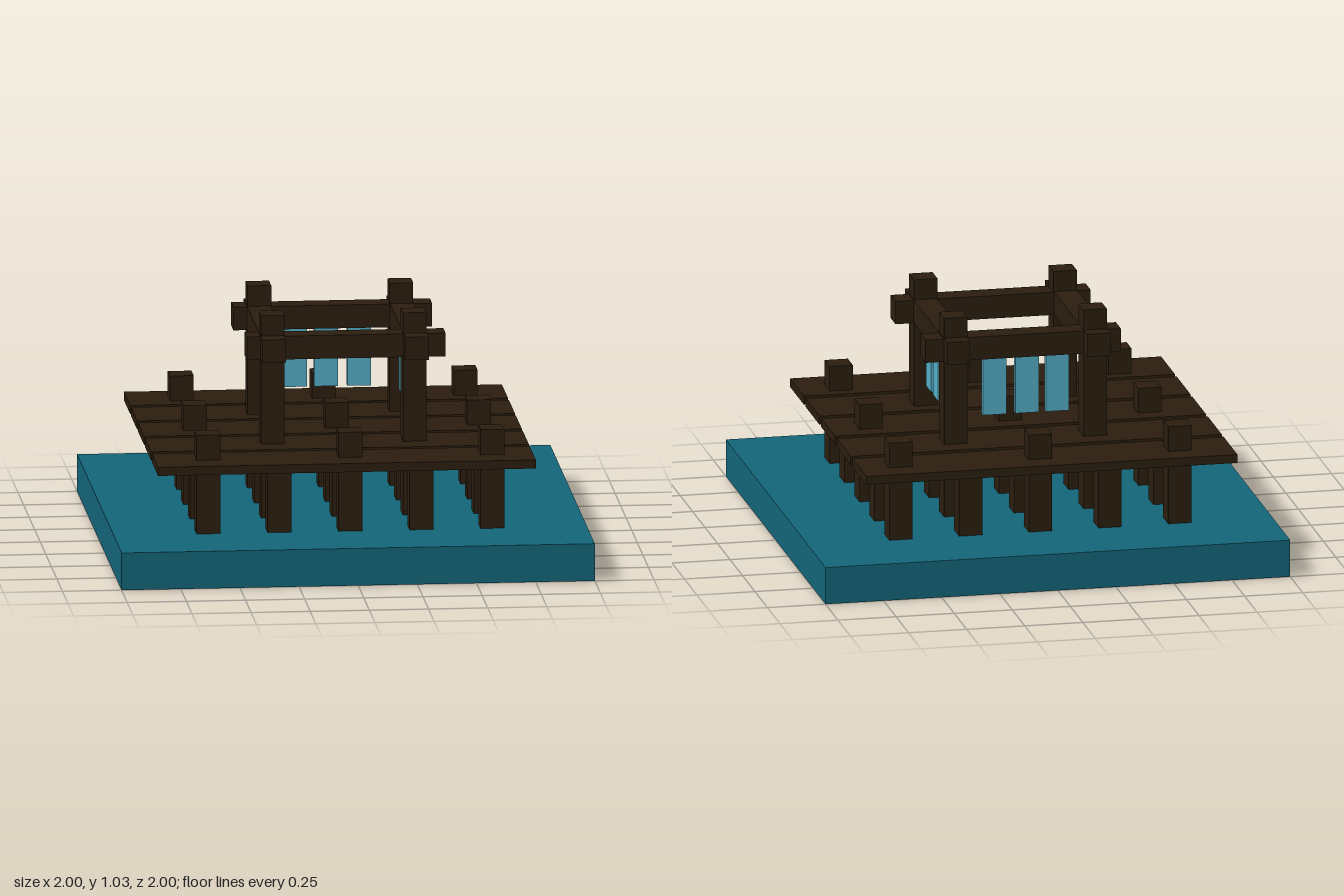
import * as THREE from 'three';

const wood = new THREE.MeshStandardMaterial({ color: 0x2c1e10 });
const water = new THREE.MeshStandardMaterial({ color: 0x14667a });
const cloth = new THREE.MeshStandardMaterial({ color: 0x55b0c8 });

// Box given by its minimum and maximum corners
function box(name, material, [x0, y0, z0], [x1, y1, z1]) {
  const mesh = new THREE.Mesh(new THREE.BoxGeometry(x1 - x0, y1 - y0, z1 - z0), material);
  mesh.position.set((x0 + x1) / 2, (y0 + y1) / 2, (z0 + z1) / 2);
  mesh.name = name;
  return mesh;
}

function group(name, ...parts) {
  const g = new THREE.Group();
  g.name = name;
  if (parts.length) g.add(...parts);
  return g;
}

export function createModel() {
  // Slab of water
  const base = box('waterBase', water, [-1, 0, -1], [1, 0.16, 1]);

  // Deck planks running left to right
  const planks = group('deckPlanks');
  for (let i = 0; i < 5; i++) {
    const z = -0.617 + i * 0.313;
    planks.add(box('plank', wood, [-0.825, 0.44, z - 0.139], [0.772, 0.477, z + 0.139]));
  }

  // Grid of posts: four tall frame posts, nine piles through the deck, the rest end under it
  const posts = group('posts');
  for (let i = -2; i <= 2; i++) {
    for (let j = -2; j <= 2; j++) {
      const oddX = i % 2 !== 0, oddZ = j % 2 !== 0;
      const top = oddX && oddZ ? 1.03 : oddX || oddZ ? 0.46 : 0.585;
      const name = top > 1 ? 'framePost' : top > 0.5 ? 'pile' : 'shortPile';
      const x = i * 0.3, z = j * 0.3;
      posts.add(box(name, wood, [x - 0.05, 0.16, z - 0.05], [x + 0.05, top, z + 0.05]));
    }
  }

  // Square of crossing beams
  const beams = group('beams');
  for (const s of [-0.302, 0.302]) {
    beams.add(box('crossBeam', wood, [-0.41, 0.84, s - 0.05], [0.43, 0.94, s + 0.05]));
    beams.add(box('sideBeam', wood, [s - 0.05, 0.843, -0.415], [s + 0.05, 0.942, 0.43]));
  }

  // Hanging cloth strips below the back beam and the left beam
  const strips = group('hangingStrips');
  const t = 0.015;
  for (const x of [-0.145, -0.015, 0.125])
    strips.add(box('backStrip', cloth, [x - 0.05, 0.585, -0.3 - t], [x + 0.05, 0.85, -0.3 + t]));
  for (const z of [-0.14, -0.01, 0.13])
    strips.add(box('leftStrip', cloth, [0.3 - t, 0.585, z - 0.05], [0.3 + t, 0.85, z + 0.05]));

  return group('pier', base, planks, posts, beams, strips);
}
